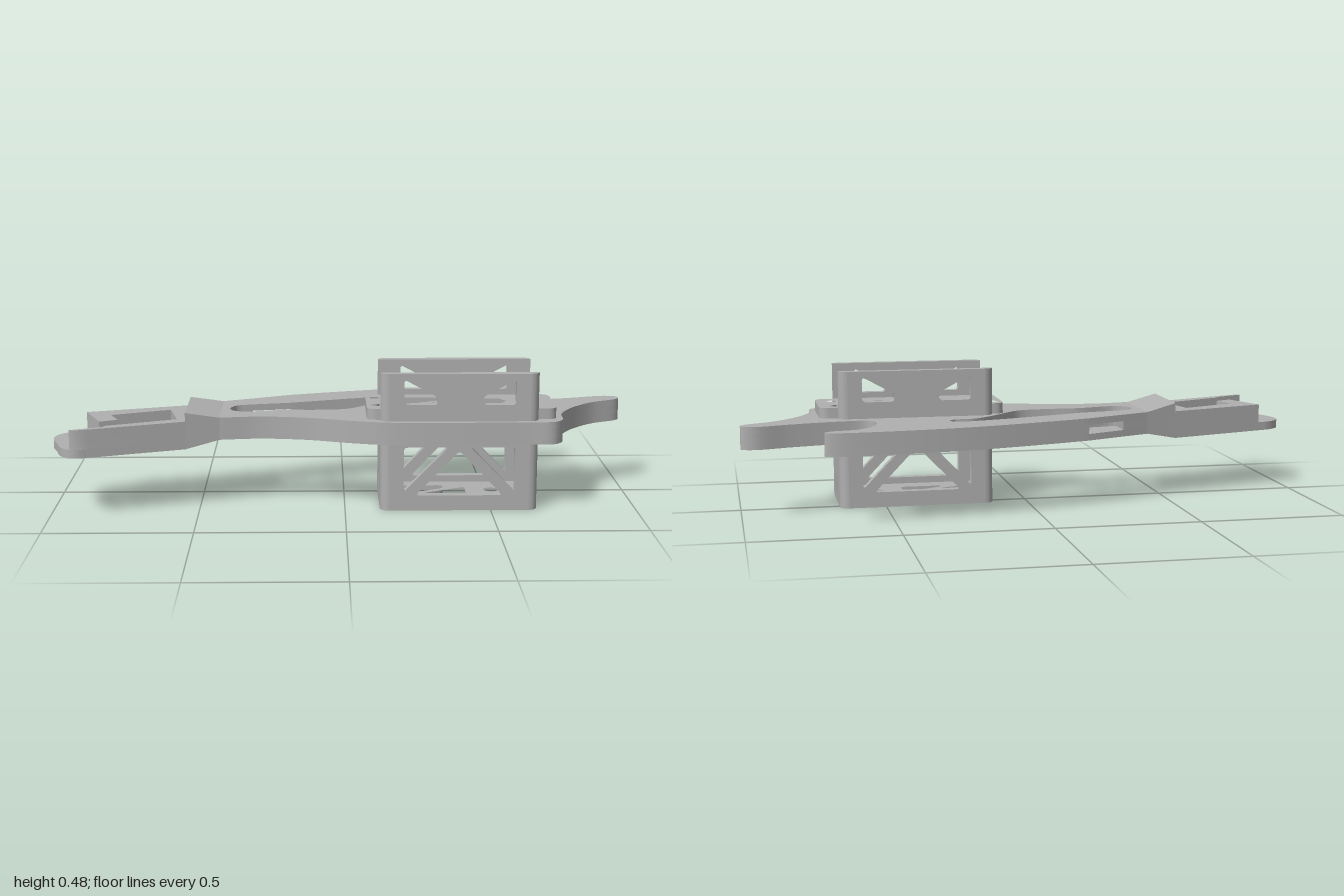
import * as THREE from 'three';
import { toCreasedNormals } from 'three/addons/utils/BufferGeometryUtils.js';

const grey = new THREE.MeshStandardMaterial({ color: 0xb0b0b0 });
grey.name = 'grey plastic';

// Smooth open run through [a, b] points
function spline(pts) {
  const curve = new THREE.CatmullRomCurve3(pts.map(([a, b]) => new THREE.Vector3(a, b, 0)), false, 'centripetal');
  return curve.getPoints((pts.length - 1) * 6).map(p => [p.x, p.y]);
}

// Polygon with rounded corners, as a point list
function rounded(pts, r) {
  const out = [];
  pts.forEach((p, i) => {
    const v = new THREE.Vector2(...p);
    const toward = q => {
      const d = new THREE.Vector2(...q).sub(v);
      return d.setLength(Math.min(r, d.length() * 0.45)).add(v);
    };
    const a = toward(pts[(i + pts.length - 1) % pts.length]);
    const b = toward(pts[(i + 1) % pts.length]);
    new THREE.QuadraticBezierCurve(a, v, b).getPoints(5).forEach(q => out.push([q.x, q.y]));
  });
  return out;
}

const rect = (a0, b0, a1, b1) => [[a0, b0], [a1, b0], [a1, b1], [a0, b1]];

function circle(cx, cz, r, n = 24) {
  return Array.from({ length: n }, (_, i) => {
    const t = i / n * Math.PI * 2;
    return [cx + r * Math.cos(t), cz + r * Math.sin(t)];
  });
}

// Extrude a profile: axis y takes [x, z], axis z takes [x, y], axis x takes [z, y]
function slab(axis, outline, holes, from, to) {
  const map = ([a, b]) => axis === 'y' ? new THREE.Vector2(a, -b)
    : axis === 'x' ? new THREE.Vector2(-a, b) : new THREE.Vector2(a, b);
  const shape = new THREE.Shape(outline.map(map));
  shape.holes = holes.map(h => new THREE.Path(h.map(map)));
  const g = new THREE.ExtrudeGeometry(shape, { depth: to - from, bevelEnabled: false });
  g.translate(0, 0, from);
  if (axis === 'y') g.rotateX(-Math.PI / 2);
  if (axis === 'x') g.rotateY(Math.PI / 2);
  return toCreasedNormals(g, 0.55);
}

export function createModel() {
  const model = new THREE.Group();
  const add = (name, geometry) => {
    const m = new THREE.Mesh(geometry, grey);
    m.name = name;
    model.add(m);
  };

  // Openings shared by the deck, the arm and the cage floor
  const windows = [
    rounded([[0.206, 0.037], [0.35, 0.037], [0.35, 0.072], [0.24, 0.13], [0.206, 0.13]], 0.015),
    rounded([[0.28, 0.136], [0.425, 0.06], [0.425, 0.155], [0.28, 0.155]], 0.015),
  ];
  const bolt = circle(0.516, 0.096, 0.025);
  const screws = [0.107, 0.67].flatMap(x => [0.037, 0.155].map(z => circle(x, z, 0.017, 16)));

  // Main arm with two prongs; the middle layer has a side slot into the long opening
  const nearSlot = [[-0.43, -0.086], [-0.33, -0.128]];
  const afterSlot = spline([[-0.19, -0.19], [-0.024, -0.24], [0.24, -0.305], [0.51, -0.339],
    [0.7, -0.343], [0.733, -0.33], [0.715, -0.305], [0.615, -0.278], [0.565, -0.225],
    [0.543, -0.16], [0.547, -0.107], [0.575, -0.085], [0.67, -0.09], [0.83, -0.123],
    [0.95, -0.155], [0.995, -0.14], [0.993, -0.107], [0.885, -0.043], [0.795, 0.053],
    [0.75, 0.145], [0.742, 0.23], [0.71, 0.264], [0.62, 0.268], [0.16, 0.268],
    [0.03, 0.24], [-0.13, 0.187], [-0.29, 0.166], [-0.43, 0.181]]);
  const opening = spline([[-0.33, -0.027], [-0.38, -0.01], [-0.4, 0.035], [-0.388, 0.068],
    [-0.345, 0.087], [-0.21, 0.06], [-0.104, 0.062], [0.003, 0.05], [0.056, 0.012],
    [0.125, -0.06], [0.2, -0.115], [0.275, -0.125], [0.29, -0.152], [0.26, -0.174],
    [0.136, -0.153], [-0.024, -0.107], [-0.19, -0.054]]);
  const cuts = [...windows, bolt, ...screws];
  const full = [...nearSlot, ...afterSlot];
  add('armLower', slab('y', full, [opening, ...cuts], 0.235, 0.258));
  add('armMiddle', slab('y', [...nearSlot, ...opening, ...afterSlot], cuts, 0.258, 0.29));
  add('armUpper', slab('y', full, [opening, ...cuts], 0.29, 0.313));

  // Tapered joint between the arm and its thicker end
  const joint = new THREE.BoxGeometry(1, 1, 1);
  const p = joint.attributes.position;
  for (let i = 0; i < p.count; i++) {
    const inner = p.getX(i) > 0, top = p.getY(i) > 0, front = p.getZ(i) > 0;
    p.setXYZ(i, inner ? -0.43 : -0.545,
      inner ? (top ? 0.313 : 0.235) : (top ? 0.337 : 0.21),
      inner ? (front ? 0.181 : -0.086) : (front ? 0.214 : -0.048));
  }
  joint.computeVertexNormals();
  add('taperedJoint', joint);

  // Thin end plate with its pivot and screw holes
  const tip = [[-0.545, -0.048], ...spline([[-0.9, 0.059], [-0.95, 0.077], [-0.99, 0.113], [-1, 0.17],
    [-0.976, 0.246], [-0.96, 0.294], [-0.935, 0.328], [-0.9, 0.337], [-0.86, 0.326]]), [-0.545, 0.214]];
  add('endPlate', slab('y', tip,
    [circle(-0.896, 0.257, 0.027), circle(-0.67, 0.139, 0.02), circle(-0.74, 0.166, 0.01, 12)], 0.21, 0.24));

  // Raised rim around the end pocket
  add('pocketRim', slab('y', [[-0.9, 0.059], [-0.545, -0.048], [-0.545, 0.214], [-0.86, 0.326],
    [-0.9, 0.337], [-0.922, 0.332], [-0.81, 0.285], [-0.815, 0.273], [-0.575, 0.176], [-0.61, 0.027],
    [-0.81, 0.107], [-0.777, 0.182], [-0.837, 0.209]], [], 0.24, 0.307));

  // Deck between the side walls, with a hexagonal nut recess
  add('deck', slab('y', rounded(rect(0.075, -0.013, 0.725, 0.222), 0.035),
    [...windows, circle(0.516, 0.096, 0.048, 6), ...screws], 0.313, 0.35));

  // Front and back cage walls with truss windows
  const mirror = pts => pts.map(([x, y]) => [0.78 - x, y]);
  const corner = [[0.2, 0.222], [0.352, 0.222], [0.2, 0.065]];
  const upper = [[0.2, 0.458], [0.312, 0.398], [0.312, 0.37], [0.2, 0.37]];
  const truss = [corner, mirror(corner), [[0.39, 0.21], [0.24, 0.053], [0.54, 0.053]], upper, mirror(upper)]
    .map(w => rounded(w, 0.014));
  const wall = rect(0.15, 0, 0.63, 0.477);
  add('frontWall', slab('z', wall, truss, 0.222, 0.252));
  add('backWall', slab('z', wall, truss, -0.044, -0.013));

  // Rounded upright corners of the cage
  for (const [x, sx] of [[0.15, -1], [0.63, 1]]) {
    for (const [z, sz] of [[0.222, 1], [-0.014, -1]]) {
      const wedge = [[x, z]];
      for (let i = 0; i <= 6; i++) {
        const t = i / 6 * Math.PI / 2;
        wedge.push([x + sx * 0.03 * Math.cos(t), z + sz * 0.03 * Math.sin(t)]);
      }
      add('cageCorner', slab('y', wedge, [], 0, 0.477));
    }
  }

  // Cage ends with cable openings, and the floor
  const end = rect(-0.014, 0, 0.222, 0.24);
  add('leftEnd', slab('x', end, [rect(0.062, 0.035, 0.147, 0.093)], 0.63, 0.66));
  add('rightEnd', slab('x', end, [rect(0.062, 0.05, 0.147, 0.093)], 0.12, 0.15));
  add('cageFloor', slab('y', rect(0.15, -0.014, 0.63, 0.222), [...windows, bolt], 0, 0.03));

  return model;
}
